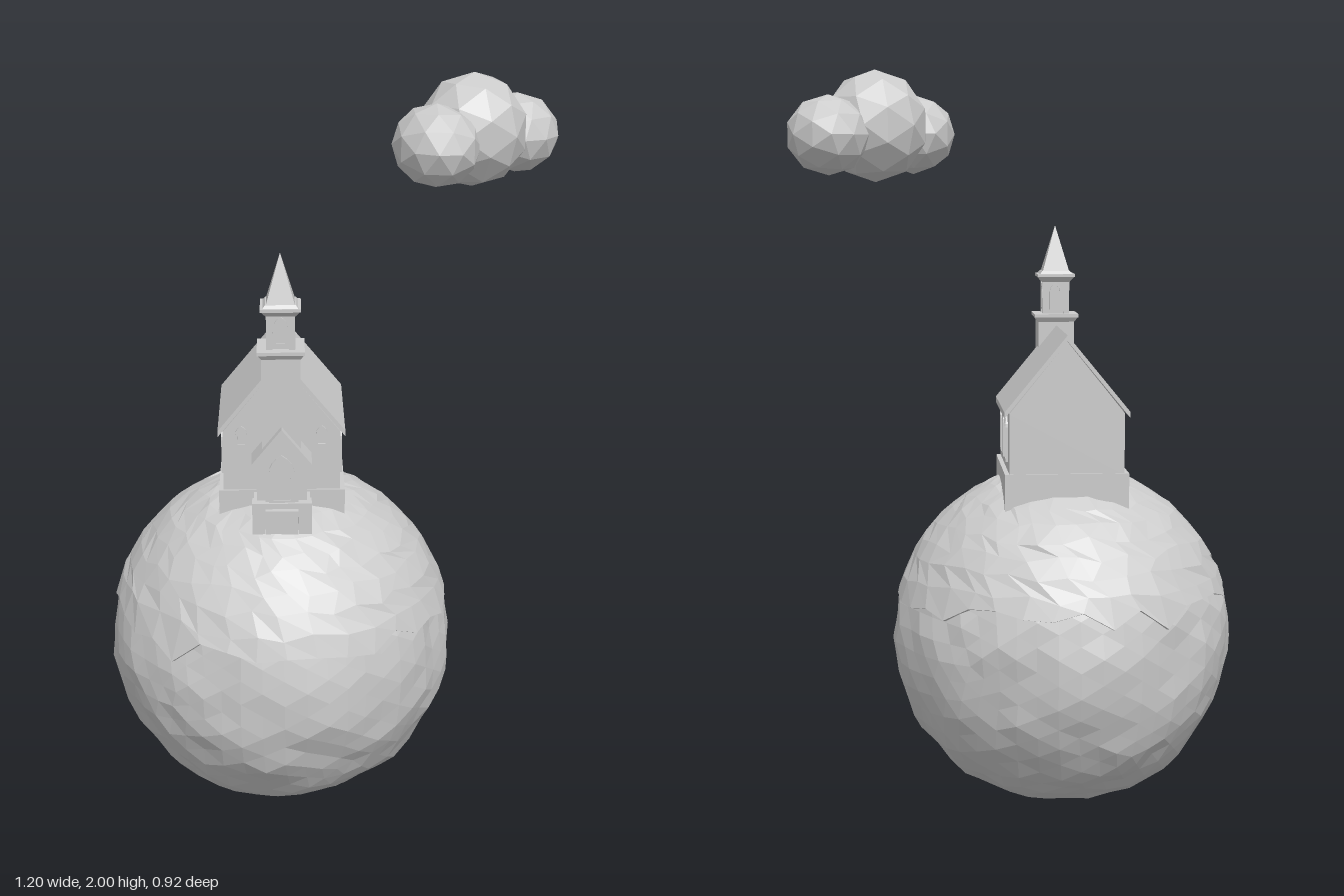
import * as THREE from 'three';

const mat = new THREE.MeshStandardMaterial({ color: 0xcccccc, flatShading: true });
const matDouble = new THREE.MeshStandardMaterial({ color: 0xcccccc, flatShading: true, side: THREE.DoubleSide });

function mesh(name, geo, parent, x = 0, y = 0, z = 0, material = mat) {
  const m = new THREE.Mesh(geo, material);
  m.name = name;
  m.position.set(x, y, z);
  parent.add(m);
  return m;
}

// box given by its bottom and top heights
const block = (name, parent, w, d, y0, y1, x = 0, z = 0) =>
  mesh(name, new THREE.BoxGeometry(w, y1 - y0, d), parent, x, (y0 + y1) / 2, z);

// square frustum given by its bottom and top heights
function frustum(name, parent, wBottom, wTop, y0, y1, z) {
  const geo = new THREE.CylinderGeometry(wTop * Math.SQRT1_2, wBottom * Math.SQRT1_2, y1 - y0, 4);
  geo.rotateY(Math.PI / 4);
  return mesh(name, geo, parent, 0, (y0 + y1) / 2, z);
}

function extrude(pts, depth) {
  const shape = new THREE.Shape(pts.map(([x, y]) => new THREE.Vector2(x, y)));
  return new THREE.ExtrudeGeometry(shape, { depth, bevelEnabled: false });
}

// gabled walls and roof; z0 is the back, z1 the front
function gabledBody(name, parent, hw, base, eave, ridge, z0, z1) {
  const geo = extrude([[-hw, base], [hw, base], [hw, eave], [0, ridge], [-hw, eave]], z1 - z0);
  return mesh(name, geo, parent, 0, 0, z0);
}
function gabledRoof(name, parent, hw, eave, ridge, t, z0, z1) {
  const geo = extrude([[-hw, eave - t], [0, ridge - t], [hw, eave - t], [hw, eave], [0, ridge], [-hw, eave]], z1 - z0);
  return mesh(name, geo, parent, 0, 0, z0);
}

// pointed arch outline standing on y = 0
function archPath(Type, w, h, inset = 0) {
  const a = w / 2 - inset, top = h - inset, spring = h - w * 0.75;
  const p = new Type();
  p.moveTo(-a, inset);
  p.lineTo(a, inset);
  p.lineTo(a, spring);
  p.quadraticCurveTo(a, spring + (top - spring) * 0.6, 0, top);
  p.quadraticCurveTo(-a, spring + (top - spring) * 0.6, -a, spring);
  p.closePath();
  return p;
}

// framed arch with a pane set behind the frame, facing +z before turning
function archedOpening(name, parent, w, h, x, y, z, turn = 0) {
  const g = new THREE.Group();
  g.name = name;
  const inset = w * 0.17;
  const frame = archPath(THREE.Shape, w, h);
  frame.holes.push(archPath(THREE.Path, w, h, inset));
  mesh(name + 'Frame', new THREE.ExtrudeGeometry(frame, { depth: 0.01, bevelEnabled: false, curveSegments: 4 }), g, 0, 0, -0.004);
  mesh(name + 'Pane', new THREE.ShapeGeometry(archPath(THREE.Shape, w, h, inset), 4), g, 0, 0, 0.001);
  g.position.set(x, y, z);
  g.rotation.y = turn;
  parent.add(g);
}

// repeatable value in -1..1 for a point
function hash(x, y, z) {
  const s = Math.sin(Math.round(x * 500) * 12.99 + Math.round(y * 500) * 78.23 + Math.round(z * 500) * 37.72) * 43758.5453;
  return (s - Math.floor(s)) * 2 - 1;
}

function deform(geo, rule) {
  const p = geo.attributes.position, v = new THREE.Vector3();
  for (let i = 0; i < p.count; i++) {
    rule(v.fromBufferAttribute(p, i));
    p.setXYZ(i, v.x, v.y, v.z);
  }
  geo.computeVertexNormals();
  return geo;
}

function buildPlanet(root) {
  const planet = new THREE.Group();
  planet.name = 'planet';
  planet.position.set(-0.132, 0.468, 0);
  root.add(planet);

  // rough rock ball, bumpier in its lower half
  const rock = deform(new THREE.IcosahedronGeometry(1, 8), v => {
    const { x, y, z } = v;
    const rough = y > 0.3 ? 0 : 1;
    const wave = Math.sin(x * 7 + y * 3) * Math.sin(y * 6 + z * 5) * Math.cos(z * 7 - x * 2);
    v.multiplyScalar(0.461 + rough * (0.009 * wave + 0.005 * hash(x, y, z)));
  });
  mesh('rock', rock, planet);

  // ground cap with a ragged lower lip; the last ring turns inward
  const rows = 12, edge = 1.29, cols = 36;
  const cap = deform(new THREE.SphereGeometry(1, cols, rows, 0, Math.PI * 2, 0, edge * rows / (rows - 1)), v => {
    const theta = Math.acos(THREE.MathUtils.clamp(v.y, -1, 1));
    const row = Math.round(theta / edge * (rows - 1));
    const phi = Math.atan2(v.z, v.x);
    const col = (Math.round(phi / (Math.PI * 2) * cols) + cols) % cols;
    let t = theta, a = phi, r = 0.469;
    if (row >= rows - 1) {
      t = edge + 0.05 * hash(col, 3, 1) + (col % 11 === 4 ? 0.07 : 0);
      if (row === rows) r = 0.445;
    } else if (row > 0) {
      t += 0.03 * hash(col, row, 5);
      a += 0.05 * hash(col, row, 9) + (row % 2) * Math.PI / cols;
      r += 0.003 * hash(col, row, 2);
    }
    v.set(Math.sin(t) * Math.cos(a), Math.cos(t), Math.sin(t) * Math.sin(a)).multiplyScalar(r);
  });
  mesh('groundCap', cap, planet, 0, 0, 0, matDouble);
}

function buildChurch(root) {
  const church = new THREE.Group();
  church.name = 'church';
  church.position.set(-0.116, 0, -0.025);
  church.rotation.y = -0.385;
  root.add(church);

  // nave
  block('navePlinth', church, 0.33, 0.372, 0.78, 0.945);
  gabledBody('naveWalls', church, 0.153, 0.94, 1.105, 1.295, -0.18, 0.18);
  gabledRoof('naveRoof', church, 0.166, 1.11, 1.312, 0.016, -0.187, 0.187);
  for (const side of [-1, 1]) {
    for (const z of [-0.102, 0, 0.102])
      archedOpening('sideWindow', church, 0.044, 0.125, side * 0.153, 0.97, z, side * Math.PI / 2);
    archedOpening('frontWindow', church, 0.03, 0.055, side * 0.105, 1.068, 0.18);
  }

  // tower
  const tower = new THREE.Group();
  tower.name = 'tower';
  tower.position.z = 0.192;
  church.add(tower);
  block('towerShaft', tower, 0.1, 0.1, 0.82, 1.33);
  frustum('towerCorniceUnder', tower, 0.1, 0.118, 1.322, 1.335, 0);
  block('towerCornice', tower, 0.122, 0.122, 1.335, 1.344);
  block('belfryCore', tower, 0.062, 0.062, 1.34, 1.445);
  for (const x of [-1, 1])
    for (const z of [-1, 1]) block('belfryPost', tower, 0.016, 0.016, 1.344, 1.44, x * 0.029, z * 0.029);
  for (let i = 0; i < 4; i++) {
    const a = i * Math.PI / 2;
    archedOpening('belfryOpening', tower, 0.034, 0.075, Math.sin(a) * 0.031, 1.355, Math.cos(a) * 0.031, a);
  }
  frustum('spireCorniceUnder', tower, 0.076, 0.098, 1.432, 1.446, 0);
  block('spireCornice', tower, 0.104, 0.104, 1.446, 1.454);
  frustum('spireStep', tower, 0.09, 0.078, 1.454, 1.462, 0);
  frustum('spire', tower, 0.074, 0.001, 1.46, 1.586, 0);

  // porch
  block('porchPlinth', church, 0.146, 0.14, 0.82, 0.94, 0, 0.2);
  for (const side of [-1, 1]) block('porchPier', church, 0.034, 0.04, 0.86, 0.945, side * 0.06, 0.262);
  block('doorStep', church, 0.085, 0.03, 0.86, 0.925, 0, 0.27);
  gabledBody('porchWalls', church, 0.065, 0.93, 1.05, 1.128, 0.15, 0.257);
  gabledRoof('porchRoof', church, 0.078, 1.047, 1.142, 0.013, 0.15, 0.268);
  archedOpening('door', church, 0.066, 0.135, 0, 0.935, 0.257);
}

function buildCloud(root) {
  const cloud = new THREE.Group();
  cloud.name = 'cloud';
  root.add(cloud);
  const puffs = [
    [0.35, 1.855, 0.148, 0.14, 0.147, 0.147],
    [0.217, 1.835, 0.205, 0.108, 0.106, 0.132],
    [0.495, 1.83, 0.112, 0.11, 0.104, 0.122],
  ];
  puffs.forEach(([x, y, z, rx, ry, rz], i) => {
    const geo = new THREE.IcosahedronGeometry(1, 1);
    geo.rotateY(0.4 + i * 0.7);
    geo.scale(rx, ry, rz);
    mesh('cloudPuff', geo, cloud, x, y, z);
  });
}

export function createModel() {
  const root = new THREE.Group();
  root.name = 'tinyPlanetWithChurch';
  buildPlanet(root);
  buildChurch(root);
  buildCloud(root);
  return root;
}
